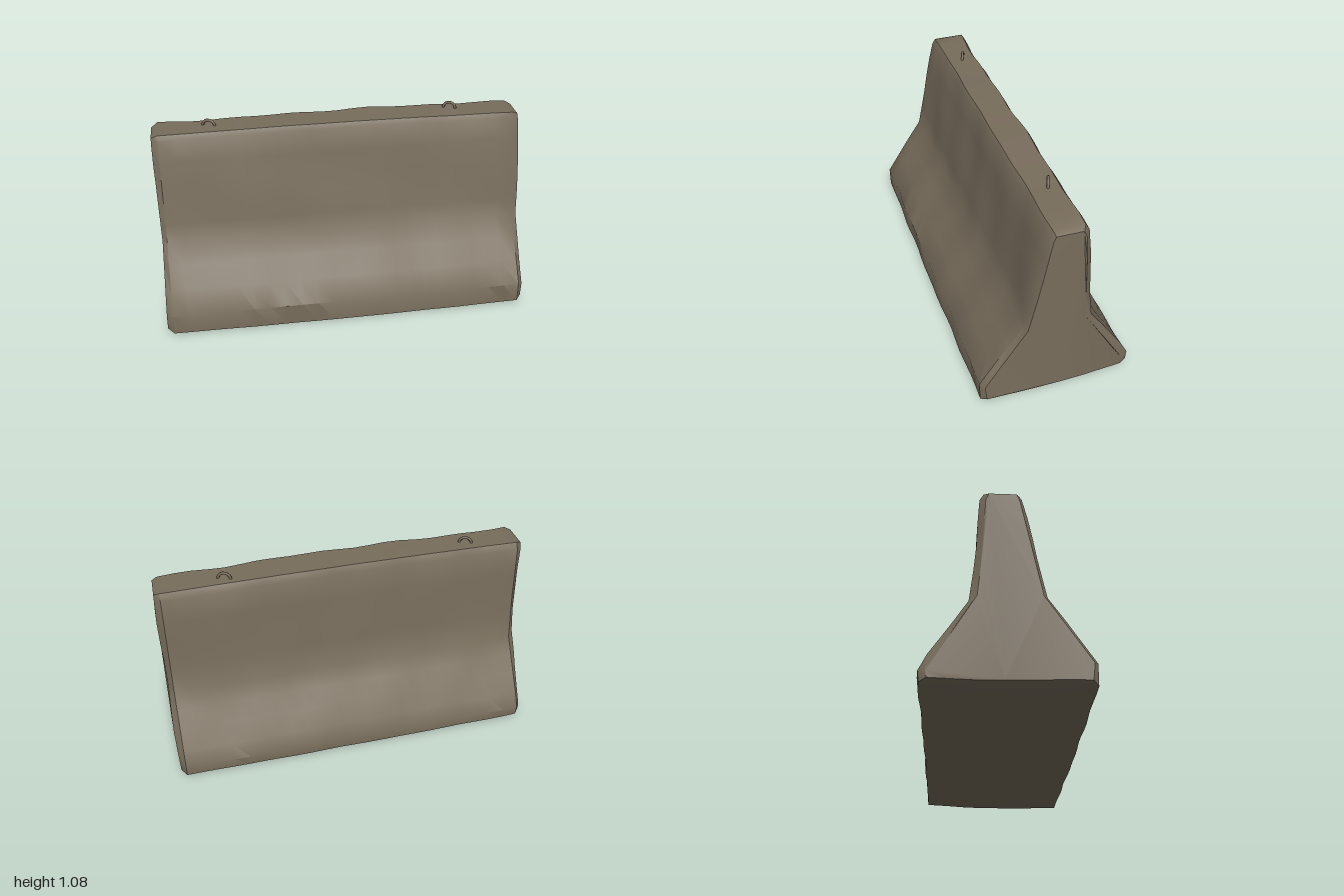
import * as THREE from 'three';
import { toCreasedNormals } from 'three/addons/utils/BufferGeometryUtils.js';

const concrete = new THREE.MeshStandardMaterial({ color: 0x786d5c });
concrete.name = 'weathered concrete';

// Cross-section as [z, y], running up the front, over the top, down the back and under
const body = [
  [0.405, 0.02], [0.405, 0.13], [0.18, 0.46], [0.16, 0.56], [0.066, 1.01], [0.05, 1.035],
  [-0.112, 1.035], [-0.132, 1.0], [-0.168, 0.6], [-0.185, 0.44], [-0.365, 0.16], [-0.405, 0.08], [-0.4, 0.025],
  [-0.15, 0.012],
];
// The same section, worn smaller, for the end faces
const end = [
  [0.375, 0.035], [0.385, 0.12], [0.165, 0.46], [0.145, 0.56], [0.055, 0.99], [0.042, 1.02],
  [-0.093, 1.02], [-0.108, 0.985], [-0.13, 0.6], [-0.145, 0.45], [-0.34, 0.13], [-0.37, 0.07], [-0.365, 0.035],
  [-0.15, 0.028],
];
// Cuts per edge, shared by both sections so that their points match
const cuts = body.map((p, i) => {
  const q = body[(i + 1) % body.length];
  return Math.max(1, Math.round(Math.hypot(q[0] - p[0], q[1] - p[1]) / 0.13));
});

function subdivide(profile) {
  return profile.flatMap((p, i) => {
    const q = profile[(i + 1) % profile.length];
    return Array.from({ length: cuts[i] }, (_, k) => {
      const t = k / cuts[i];
      return [p[0] + (q[0] - p[0]) * t, p[1] + (q[1] - p[1]) * t];
    });
  });
}

// Gentle waviness of a worn cast surface
function wear(x, y, z) {
  const a = Math.sin(x * 7.3 + y * 5.1 + 1) * Math.sin(y * 8.7 - x * 3.1 + z * 4);
  const b = Math.sin(x * 17 + y * 6 + z * 9);
  return a * 0.005 + b * 0.003;
}

function barrierGeometry() {
  const full = subdivide(body), small = subdivide(end);
  const n = full.length, spans = 22;
  const stations = [[-0.995, small], [-0.965, full]];
  for (let i = 1; i < spans; i++) stations.push([-0.965 + 1.93 * i / spans, full]);
  stations.push([0.965, full], [0.995, small]);

  const positions = [], index = [];
  stations.forEach(([x, profile], s) => {
    const isEnd = s === 0 || s === stations.length - 1;
    profile.forEach(([z, y]) => {
      const w = isEnd ? 0 : wear(x, y, z);
      // The top bows up and the underside sags towards the middle
      const bow = 0.009 * Math.cos(x * Math.PI / 2) * (y > 0.9 ? 1 : y < 0.05 ? -1 : 0);
      const px = x + (isEnd ? Math.sign(x) * 0.005 * Math.sin(y * 9 + z * 6 + x) : 0);
      positions.push(px, Math.max(0, y + bow + w * 0.6), z + Math.sign(z) * w);
    });
  });
  // Long sides
  for (let s = 0; s < stations.length - 1; s++) {
    for (let j = 0; j < n; j++) {
      const k = (j + 1) % n;
      const a = s * n + j, b = s * n + k, c = b + n, d = a + n;
      index.push(a, d, b, d, c, b);
    }
  }
  // End faces
  const last = (stations.length - 1) * n;
  const faces = THREE.ShapeUtils.triangulateShape(small.map(([z, y]) => new THREE.Vector2(z, y)), []);
  faces.forEach(([a, b, c]) => index.push(a, b, c, last + a, last + c, last + b));

  const geometry = new THREE.BufferGeometry();
  geometry.setAttribute('position', new THREE.Float32BufferAttribute(positions, 3));
  geometry.setIndex(index);
  return toCreasedNormals(geometry, 0.62);
}

// Bent steel bar standing out of the top
function loopGeometry() {
  const path = new THREE.CatmullRomCurve3([
    [-0.034, -0.03], [-0.032, 0.012], [-0.018, 0.031], [0, 0.035], [0.018, 0.031], [0.032, 0.012], [0.034, -0.03],
  ].map(([x, y]) => new THREE.Vector3(x, y, 0)));
  return new THREE.TubeGeometry(path, 16, 0.0075, 7);
}

export function createModel() {
  const group = new THREE.Group();
  group.name = 'roadBarrier';

  const barrier = new THREE.Mesh(barrierGeometry(), concrete);
  barrier.name = 'barrierBody';
  group.add(barrier);

  const loop = loopGeometry();
  [['rightLiftingLoop', -0.695, 1.03, -0.042], ['leftLiftingLoop', 0.628, 1.034, -0.06]].forEach(([name, x, y, z]) => {
    const mesh = new THREE.Mesh(loop, concrete);
    mesh.name = name;
    mesh.position.set(x, y, z);
    mesh.rotation.y = -0.38;
    group.add(mesh);
  });
  return group;
}
